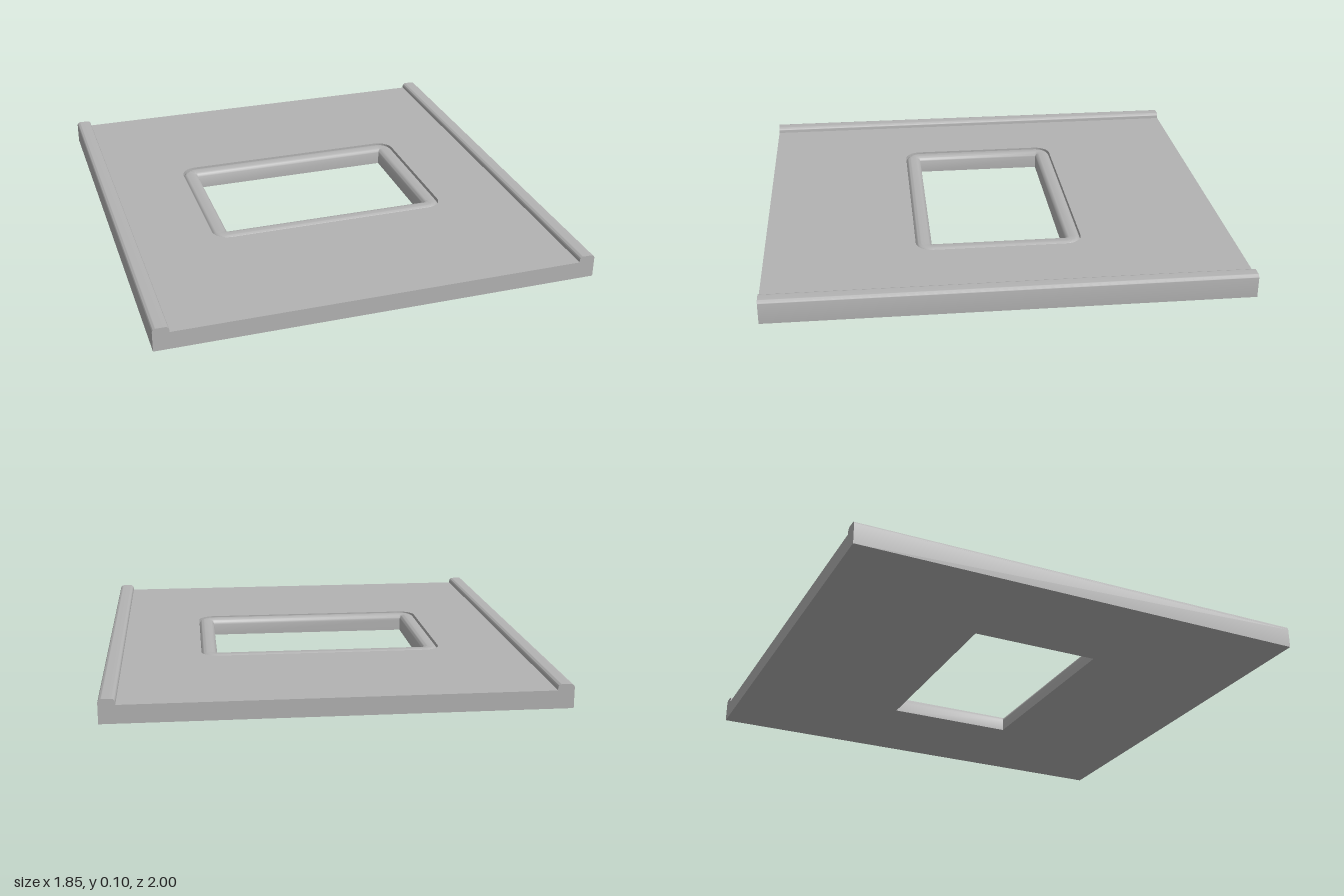
import * as THREE from 'three';
import { toCreasedNormals } from 'three/addons/utils/BufferGeometryUtils.js';

const HALF_W = 0.927, RAIL_W = 0.067, SLAB_H = 0.075, RAIL_H = 0.1;
const HOLE_W = 0.455, HOLE_D = 0.287, RIM_W = 0.07, RIM_R = 0.025;
const CX = -0.003, CZ = 0.003, ARC = 8;

// Loop around the opening, grown outward by t with rounded corners
function openingLoop(t) {
  const points = [];
  [[1, 1], [-1, 1], [-1, -1], [1, -1]].forEach(([sx, sz], corner) => {
    for (let i = 0; i <= ARC; i++) {
      const a = (corner + i / ARC) * Math.PI / 2;
      points.push(new THREE.Vector2(CX + sx * HOLE_W + t * Math.cos(a), CZ + sz * HOLE_D + t * Math.sin(a)));
    }
  });
  return points;
}

// Flat panel with a rounded rectangular cutout
function panelGeometry() {
  const w = HALF_W - RAIL_W;
  const shape = new THREE.Shape([[-w, -1], [w, -1], [w, 1], [-w, 1]].map(p => new THREE.Vector2(...p)));
  shape.holes.push(new THREE.Path(openingLoop(RIM_W)));
  const g = new THREE.ExtrudeGeometry(shape, { depth: SLAB_H, bevelEnabled: false });
  return g.rotateX(Math.PI / 2).translate(0, SLAB_H, 0);
}

// Raised side rail with softened top edges
function railGeometry() {
  const r = 0.016, w = RAIL_W / 2;
  const s = new THREE.Shape();
  s.moveTo(-w, 0);
  s.lineTo(w, 0);
  s.lineTo(w, RAIL_H - r);
  s.absarc(w - r, RAIL_H - r, r, 0, Math.PI / 2);
  s.absarc(-w + r, RAIL_H - r, r, Math.PI / 2, Math.PI);
  s.closePath();
  const g = new THREE.ExtrudeGeometry(s, { depth: 2, bevelEnabled: false, curveSegments: 6 });
  return toCreasedNormals(g.translate(0, 0, -1), 0.6);
}

// Rounded rim swept around the opening: square inside corners, round outside
function rimGeometry() {
  const profile = [[0, 0]];
  for (const [c, start] of [[RIM_R, Math.PI], [RIM_W - RIM_R, Math.PI / 2]]) {
    for (let i = 0; i <= 6; i++) {
      const a = start - i / 6 * Math.PI / 2;
      profile.push([c + RIM_R * Math.cos(a), SLAB_H - RIM_R + RIM_R * Math.sin(a)]);
    }
  }
  profile.push([RIM_W, 0], [0, 0]);
  const positions = [], index = [];
  const n = 4 * (ARC + 1);
  profile.forEach(([t, y], j) => {
    openingLoop(t).forEach(p => positions.push(p.x, y, p.y));
    if (j === 0) return;
    for (let i = 0; i < n; i++) {
      const k = (i + 1) % n;
      const a = (j - 1) * n + i, b = (j - 1) * n + k, c = j * n + k, d = j * n + i;
      index.push(a, b, c, a, c, d);
    }
  });
  const g = new THREE.BufferGeometry();
  g.setAttribute('position', new THREE.Float32BufferAttribute(positions, 3));
  g.setIndex(index);
  return toCreasedNormals(g, 0.6);
}

export function createModel() {
  const group = new THREE.Group();
  group.name = 'panelWithOpening';
  const grey = new THREE.MeshStandardMaterial({ color: 0xb3b3b3 });
  grey.name = 'grey';
  const add = (name, geometry, x = 0) => {
    const mesh = new THREE.Mesh(geometry, grey);
    mesh.name = name;
    mesh.position.x = x;
    group.add(mesh);
  };

  add('panel', panelGeometry());
  add('openingRim', rimGeometry());
  const rail = railGeometry();
  add('leftRail', rail, HALF_W - RAIL_W / 2);
  add('rightRail', rail, -HALF_W + RAIL_W / 2);
  return group;
}
